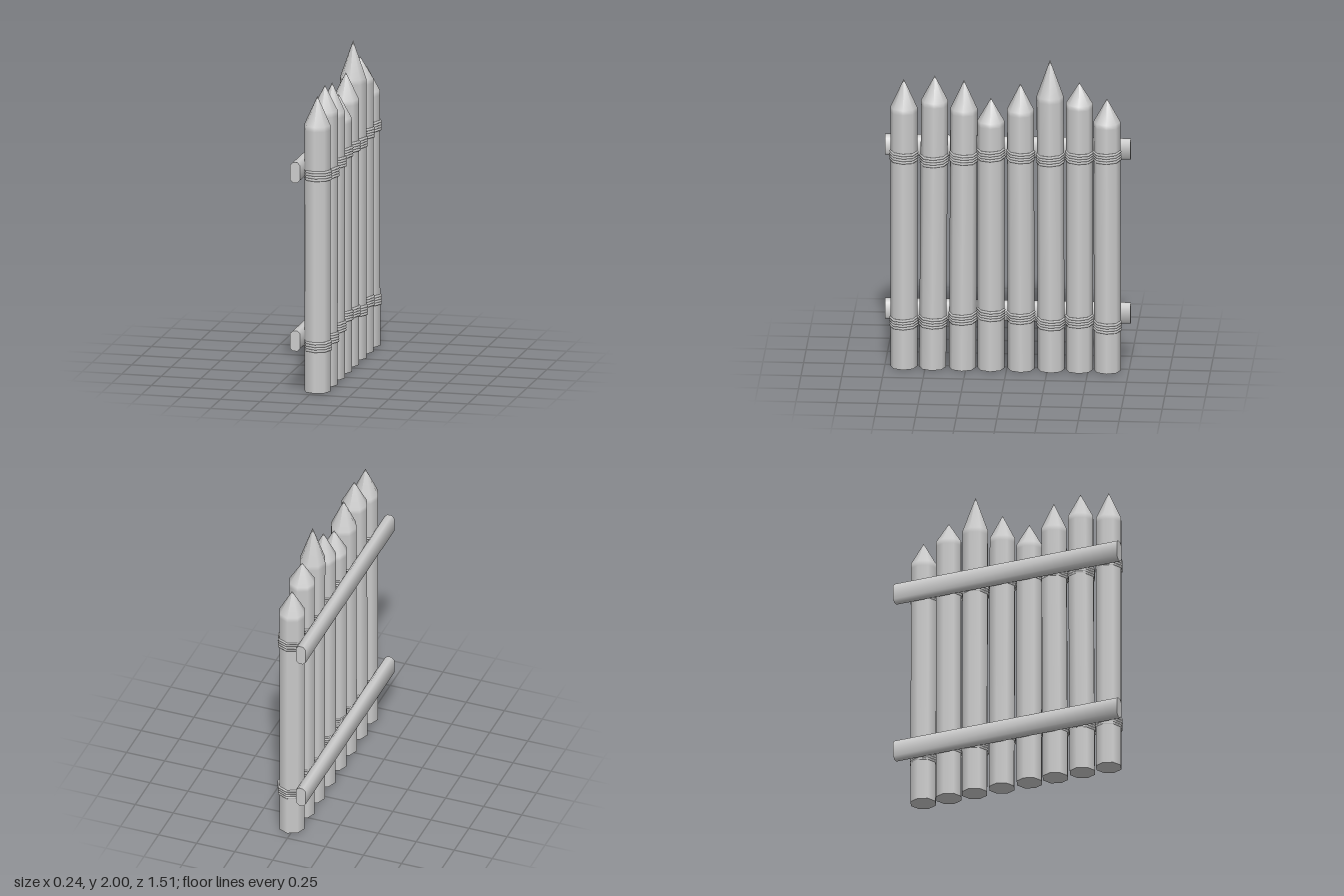
import * as THREE from 'three';
import { toCreasedNormals } from 'three/addons/utils/BufferGeometryUtils.js';

const material = new THREE.MeshStandardMaterial({ color: 0xcccccc });
const RADIUS = 0.083;
const STAKE_X = 0.021;

// z at the ground, z at the top, shoulder height, tip height, lower and upper lashing heights
const STAKES = [
  [0.633, 0.633, 1.676, 1.857, 0.292, 1.365],
  [0.456, 0.443, 1.724, 1.883, 0.302, 1.345],
  [0.273, 0.263, 1.676, 1.857, 0.33, 1.365],
  [0.098, 0.098, 1.6, 1.745, 0.358, 1.39],
  [-0.088, -0.083, 1.676, 1.842, 0.343, 1.383],
  [-0.272, -0.265, 1.765, 2.0, 0.306, 1.367],
  [-0.445, -0.445, 1.724, 1.857, 0.326, 1.385],
  [-0.618, -0.615, 1.607, 1.756, 0.292, 1.39],
];

function add(parent, geometry, name) {
  const mesh = new THREE.Mesh(geometry, material);
  mesh.name = name;
  parent.add(mesh);
  return mesh;
}

// Eight-sided sharpened post, sheared so it leans a little along the fence
function stakeGeometry(shoulder, tip, lean) {
  const profile = [
    [RADIUS, 0], [RADIUS, shoulder - 0.03], [RADIUS, shoulder], [0, tip],
  ].map(([r, y]) => new THREE.Vector2(r, y));
  const geometry = new THREE.LatheGeometry(profile, 8);
  const p = geometry.attributes.position;
  for (let i = 0; i < p.count; i++) p.setZ(i, p.getZ(i) + lean * p.getY(i));
  return geometry;
}

// Four stacked turns of rope around a stake
function makeLashing(name, y, z, tilt) {
  const lashing = new THREE.Group();
  lashing.name = name;
  lashing.position.set(STAKE_X + 0.004, y, z);
  lashing.rotation.x = tilt;
  for (let i = 0; i < 4; i++) {
    const turn = add(lashing, new THREE.TorusGeometry(0.081, 0.009, 6, 8), 'ropeTurn');
    turn.rotation.x = Math.PI / 2;
    turn.position.y = (i - 1.5) * 0.016;
  }
  return lashing;
}

// Plank with chamfered long edges, running along z
function railGeometry() {
  const w = 0.032, h = 0.064, c = 0.018, length = 1.51;
  const shape = new THREE.Shape([
    [w, -h + c], [w, h - c], [w - c, h], [-w + c, h],
    [-w, h - c], [-w, -h + c], [-w + c, -h], [w - c, -h],
  ].map(([x, y]) => new THREE.Vector2(x, y)));
  const geometry = new THREE.ExtrudeGeometry(shape, { depth: length, bevelEnabled: false });
  geometry.translate(0, 0, -length / 2);
  return toCreasedNormals(geometry, 1);
}

export function createModel() {
  const fence = new THREE.Group();
  fence.name = 'palisadeFence';

  STAKES.forEach(([z0, z1, shoulder, tip, low, high], i) => {
    const post = new THREE.Group();
    post.name = 'post' + (i + 1);
    fence.add(post);

    const lean = (z1 - z0) / tip;
    const stake = add(post, stakeGeometry(shoulder, tip, lean), 'stake');
    stake.position.set(STAKE_X, 0, z0);

    const base = add(post, new THREE.CircleGeometry(RADIUS, 8), 'stakeBase');
    base.rotation.x = Math.PI / 2;
    base.position.set(STAKE_X, 0, z0);

    const tilt = i % 2 ? -0.03 : 0.03;
    post.add(makeLashing('lowerLashing', low, z0 + lean * low, tilt));
    post.add(makeLashing('upperLashing', high, z0 + lean * high, -tilt));
  });

  // Two cross rails behind the stakes
  for (const [name, y] of [['lowerRail', 0.334], ['upperRail', 1.395]]) {
    add(fence, railGeometry(), name).position.set(-0.09, y, 0);
  }
  return fence;
}
